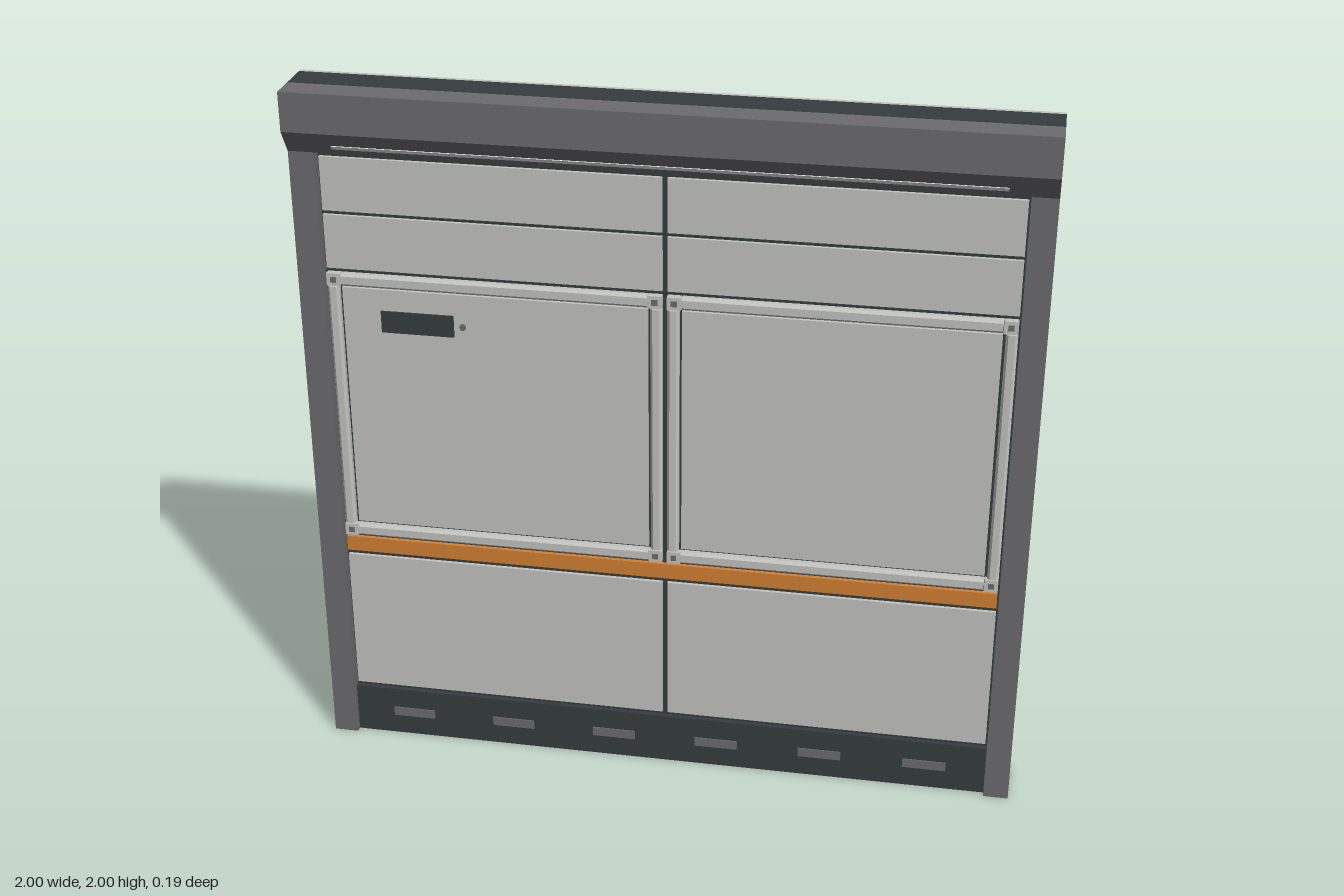
import * as THREE from 'three';

const mat = (name, color) => {
  const m = new THREE.MeshStandardMaterial({ color });
  m.name = name;
  return m;
};

export function createModel() {
  const light = mat('light grey panel', 0xc3c3c0);
  const grey = mat('mid grey frame', 0x6c6c70);
  const dark = mat('dark slate', 0x363d3e);
  const orange = mat('orange stripe', 0xd28033);
  const white = mat('white lamp', 0xf0f0ee);

  const model = new THREE.Group();
  model.name = 'wallUnit';

  const add = (name, geometry, material, parent = model) => {
    const mesh = new THREE.Mesh(geometry, material);
    mesh.name = name;
    parent.add(mesh);
    return mesh;
  };
  // Box given by its limits on each axis
  const box = (name, x0, x1, y0, y1, z0, z1, material, parent) => {
    const mesh = add(name, new THREE.BoxGeometry(x1 - x0, y1 - y0, z1 - z0), material, parent);
    mesh.position.set((x0 + x1) / 2, (y0 + y1) / 2, (z0 + z1) / 2);
    return mesh;
  };
  // Bar with chamfered front edges, running along x
  const bar = (name, length, width, x, y, vertical, parent) => {
    const w = width / 2, z0 = 0.022, z1 = 0.042, c = 0.007;
    const s = new THREE.Shape([[z0, -w], [z1 - c, -w], [z1, -w + c], [z1, w - c], [z1 - c, w], [z0, w]]
      .map(([a, b]) => new THREE.Vector2(a, b)));
    const g = new THREE.ExtrudeGeometry(s, { depth: length, bevelEnabled: false });
    g.translate(0, 0, -length / 2).rotateY(-Math.PI / 2).scale(1, 1, 1);
    if (vertical) g.rotateZ(Math.PI / 2);
    add(name, g, light, parent).position.set(x, y, 0);
  };

  // Carcass
  box('backPlate', -1, 1, 0, 2, -0.095, -0.082, light);
  box('core', -1, 1, 0, 2, -0.082, 0.015, dark);
  box('panelBacking', -0.93, 0.93, 0, 1.84, 0.015, 0.022, dark);
  for (const s of [-1, 1]) {
    const a = s * 0.93, b = s;
    box(s > 0 ? 'leftPillar' : 'rightPillar', Math.min(a, b), Math.max(a, b), 0, 1.84, 0.015, 0.053, grey);
  }

  // Hood with sloping underside
  const profile = new THREE.Shape([[0.015, 2], [0.015, 1.826], [0.053, 1.826], [0.095, 1.892], [0.095, 2]]
    .map(([z, y]) => new THREE.Vector2(-z, y)));
  const hood = new THREE.ExtrudeGeometry(profile, { depth: 2, bevelEnabled: false });
  hood.translate(0, 0, -1).rotateY(Math.PI / 2);
  add('hood', hood, grey);
  const lamp = add('lampStrip', new THREE.BoxGeometry(1.75, 0.012, 0.004), white);
  lamp.position.set(0, 1.848, 0.067);
  lamp.rotation.x = Math.atan2(0.042, 0.066);

  // Two mirrored bays of panels
  for (const s of [-1, 1]) {
    const bay = new THREE.Group();
    bay.name = s > 0 ? 'leftBay' : 'rightBay';
    bay.position.x = s * 0.466;
    model.add(bay);
    const w = 0.459;
    [[1.657, 1.808], [1.492, 1.645], [0.165, 0.602]].forEach(([y0, y1]) =>
      box('panel', -w, w, y0, y1, 0.02, 0.032, light, bay));

    // Door framed by rails and stiles
    box('door', -0.42, 0.42, 0.716, 1.438, 0.02, 0.032, light, bay);
    for (const y of [0.69, 1.462]) {
      bar('doorRail', 0.84, 0.036, 0, y, false, bay);
      for (const x of [-0.44, 0.44]) {
        box('cornerBlock', x - 0.019, x + 0.019, y - 0.018, y + 0.018, 0.02, 0.042, light, bay);
        box('cornerBolt', x - 0.008, x + 0.008, y - 0.008, y + 0.008, 0.04, 0.044, grey, bay);
      }
    }
    for (const x of [-0.443, 0.443]) bar('doorStile', 0.73, 0.032, x, 1.076, true, bay);
  }

  // Orange stripe
  box('stripe', -0.925, 0.925, 0.617, 0.662, 0.02, 0.034, orange);

  // Display and button on one door
  box('display', -0.78, -0.578, 1.315, 1.377, 0.03, 0.038, dark);
  const button = add('button', new THREE.CylinderGeometry(0.009, 0.009, 0.008, 16), grey);
  button.rotation.x = Math.PI / 2;
  button.position.set(-0.553, 1.346, 0.034);

  // Plinth with vents
  box('plinth', -0.93, 0.93, 0, 0.152, 0.02, 0.036, dark);
  for (let i = 0; i < 6; i++) {
    const x = (i - 2.5) * 0.302;
    box('plinthVent', x - 0.062, x + 0.062, 0.062, 0.09, 0.034, 0.039, grey);
  }
  return model;
}
